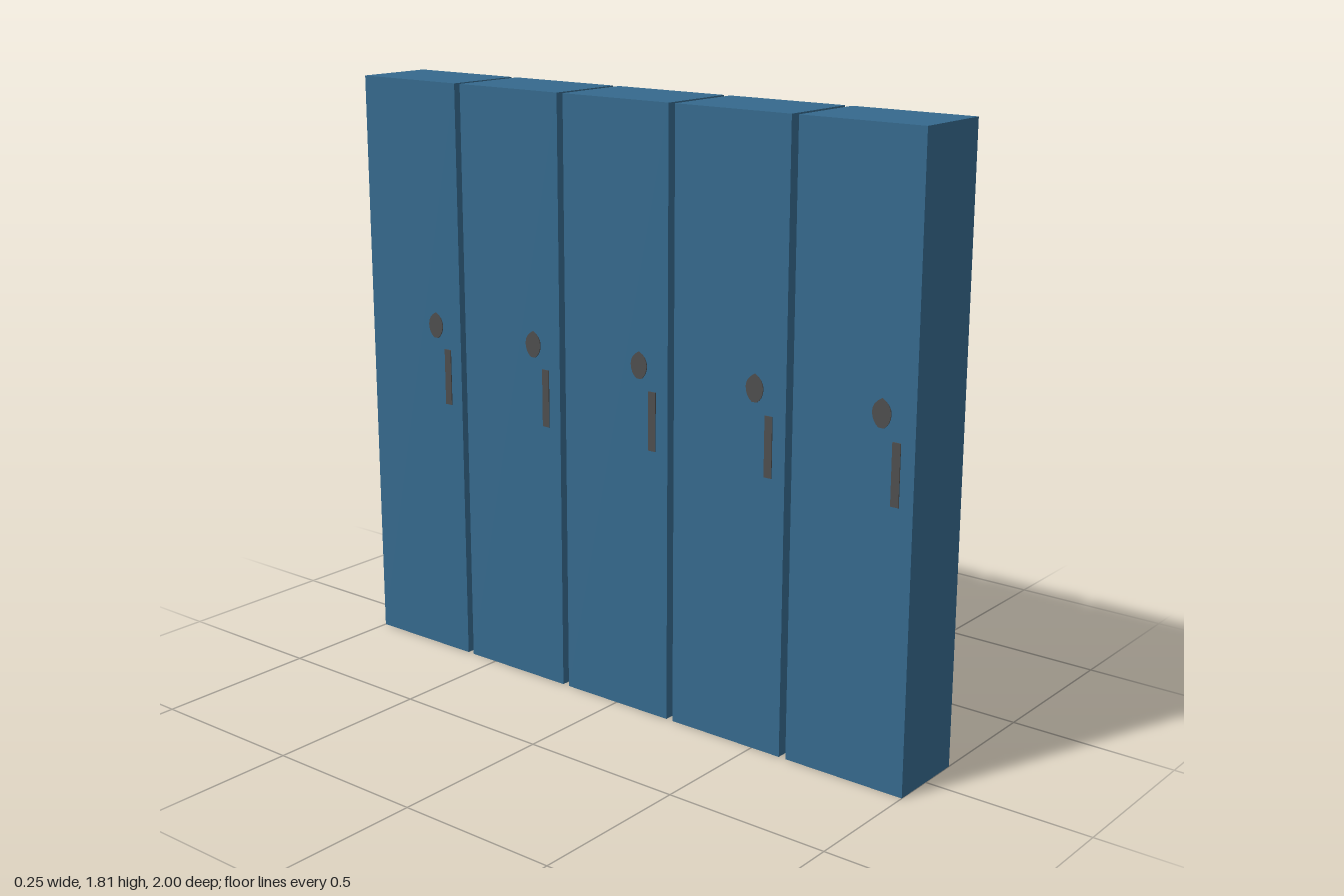
import * as THREE from 'three';

const DEPTH = 0.25, HEIGHT = 1.81, WIDTH = 0.382, PITCH = 0.4045, COUNT = 5;
const DOOR_X = -0.124, OPEN_X = DOOR_X + DEPTH, MID_X = DOOR_X + DEPTH / 2;

const paint = new THREE.MeshStandardMaterial({ color: 0x35698d, side: THREE.DoubleSide });
paint.name = 'blue paint';
const metal = new THREE.MeshStandardMaterial({ color: 0x4d4d4d });
metal.name = 'dark grey metal';

function add(parent, name, geometry, material, x, y, z) {
  const mesh = new THREE.Mesh(geometry, material);
  mesh.name = name;
  mesh.position.set(x, y, z);
  parent.add(mesh);
  return mesh;
}

// Small lock plate: pointed top, rounded bottom, passing through the door
function lockGeometry() {
  const s = new THREE.Shape();
  s.moveTo(0, 0.042);
  s.quadraticCurveTo(0.028, 0.028, 0.029, 0.003);
  s.quadraticCurveTo(0.028, -0.025, 0.008, -0.038);
  s.lineTo(-0.008, -0.038);
  s.quadraticCurveTo(-0.028, -0.025, -0.029, 0.003);
  s.quadraticCurveTo(-0.028, 0.028, 0, 0.042);
  const g = new THREE.ExtrudeGeometry(s, { depth: 0.006, bevelEnabled: false, curveSegments: 4 });
  return g.translate(0, 0, -0.003).rotateY(-Math.PI / 2);
}

export function createModel() {
  const model = new THREE.Group();
  model.name = 'lockerRow';

  const door = new THREE.PlaneGeometry(WIDTH, HEIGHT).rotateY(-Math.PI / 2);
  const side = new THREE.PlaneGeometry(DEPTH, HEIGHT);
  const top = new THREE.PlaneGeometry(OPEN_X - DOOR_X, WIDTH).rotateX(-Math.PI / 2);
  const handle = new THREE.BoxGeometry(0.006, 0.175, 0.025);
  const lock = lockGeometry();

  for (let i = 0; i < COUNT; i++) {
    // Each locker is a thin shell, open at the bottom and opposite the door
    const locker = new THREE.Group();
    locker.name = 'locker' + (i + 1);
    locker.position.z = (i - (COUNT - 1) / 2) * PITCH;
    model.add(locker);

    add(locker, 'door', door, paint, DOOR_X, HEIGHT / 2, 0);
    add(locker, 'topPanel', top, paint, MID_X, HEIGHT, 0);
    add(locker, 'sidePanelFront', side, paint, MID_X, HEIGHT / 2, WIDTH / 2);
    add(locker, 'sidePanelBack', side, paint, MID_X, HEIGHT / 2, -WIDTH / 2).rotation.y = Math.PI;

    // Fittings show on both faces of the door
    add(locker, 'handle', handle, metal, DOOR_X, 0.903, 0.136);
    add(locker, 'lockPlate', lock, metal, DOOR_X, 1.06, 0.088);
  }
  return model;
}
